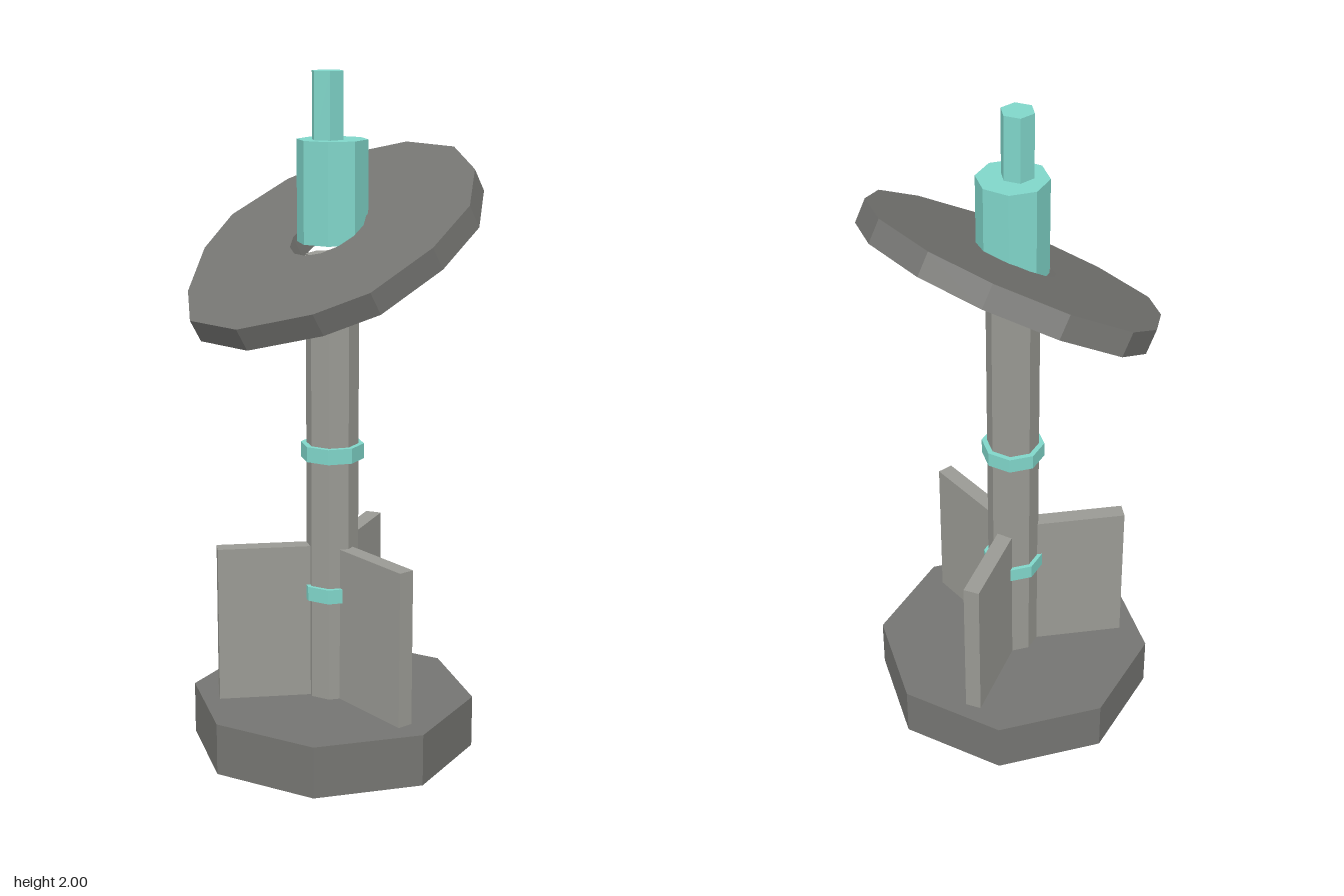
import * as THREE from 'three';

function material(name, color) {
  const m = new THREE.MeshStandardMaterial({ color });
  m.name = name;
  m.flatShading = true;
  return m;
}

export function createModel() {
  const model = new THREE.Group();
  model.name = 'beaconTower';
  const darkGrey = material('darkGrey', 0x757572);
  const lightGrey = material('lightGrey', 0x9a9a94);
  const teal = material('teal', 0x80d6ca);
  const axisX = 0.008;

  function add(name, geometry, mat, x, y, z = 0) {
    const mesh = new THREE.Mesh(geometry, mat);
    mesh.name = name;
    mesh.position.set(x, y, z);
    model.add(mesh);
    return mesh;
  }

  // Upright prism between two heights
  function prism(name, radius, bottom, top, sides, mat, z = 0) {
    const geometry = new THREE.CylinderGeometry(radius, radius, top - bottom, sides);
    return add(name, geometry, mat, axisX, (bottom + top) / 2, z);
  }

  // Base, pole, bands and head
  prism('base', 0.423, 0, 0.155, 8, darkGrey);
  prism('pole', 0.077, 0.15, 1.485, 8, lightGrey);
  prism('lowerBand', 0.09, 0.46, 0.503, 8, teal);
  prism('upperBand', 0.093, 0.885, 0.93, 8, teal);
  prism('head', 0.102, 1.52, 1.81, 8, teal);
  prism('tip', 0.048, 1.805, 2, 6, teal, 0.017);

  // Three fins spaced evenly around the pole
  for (let i = 0; i < 3; i++) {
    const fin = new THREE.BoxGeometry(0.3, 0.47, 0.048);
    fin.translate(0.192, 0, 0);
    add('fin' + (i + 1), fin, lightGrey, axisX, 0.387).rotation.y = (i * Math.PI * 2) / 3;
  }

  // Tilted, slightly uneven disc with a hole around the pole
  const rim = [
    [-0.465, 0], [-0.405, -0.165], [-0.255, -0.35], [-0.105, -0.458],
    [0.105, -0.446], [0.31, -0.326], [0.42, -0.203], [0.455, 0.01],
    [0.415, 0.2], [0.283, 0.357], [0.105, 0.448], [-0.107, 0.447],
    [-0.277, 0.362], [-0.415, 0.2],
  ];
  const outline = new THREE.Shape(rim.map(([x, y]) => new THREE.Vector2(x, y)));
  const hole = new THREE.Path();
  for (let i = 0; i < 14; i++) {
    const a = (-i * Math.PI * 2) / 14;
    const x = 0.01 + 0.118 * Math.cos(a), y = 0.118 * Math.sin(a);
    if (i === 0) hole.moveTo(x, y);
    else hole.lineTo(x, y);
  }
  hole.closePath();
  outline.holes.push(hole);
  const disc = new THREE.ExtrudeGeometry(outline, { depth: 0.072, bevelEnabled: false });
  disc.translate(0, 0, -0.036);
  disc.rotateX(-Math.PI / 2 + Math.PI / 6);
  add('disc', disc, darkGrey, 0, 1.52);

  return model;
}
